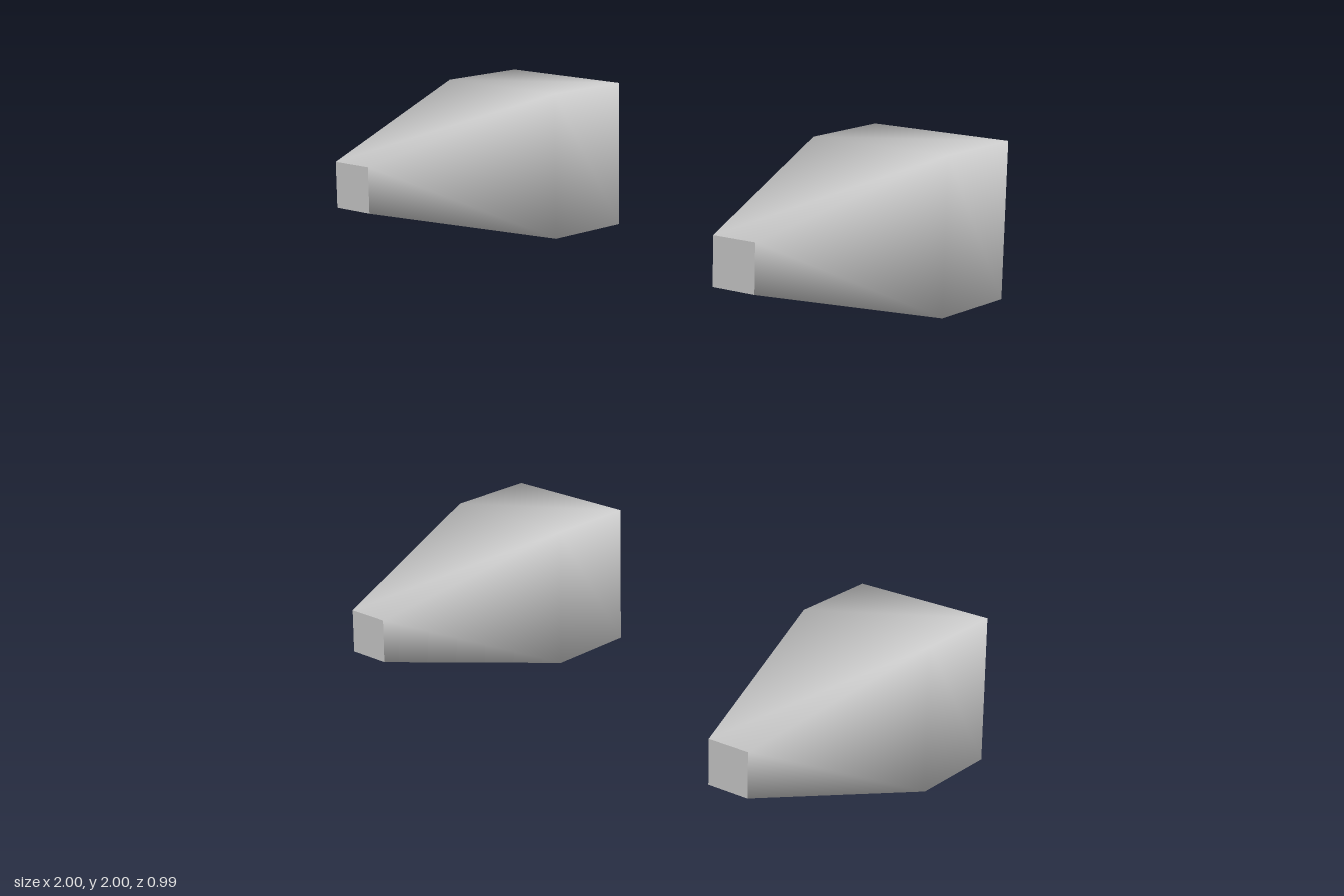
import * as THREE from 'three';

const material = new THREE.MeshStandardMaterial({ color: 0xcccccc, side: THREE.DoubleSide });

// Square cross-sections from the open back to the tip: [z, half width]
const SECTIONS = [[-0.495, 0.239], [-0.18, 0.239], [0.495, 0.073]];
const CORNERS = [[-1, -1], [1, -1], [1, 1], [-1, 1]];

// Hollow square shell: straight socket, then taper, smoothed across its corners
function shellGeometry() {
  const positions = [];
  const indices = [];
  for (const [z, half] of SECTIONS) {
    for (const [x, y] of CORNERS) positions.push(x * half, y * half, z);
  }
  for (let s = 0; s < SECTIONS.length - 1; s++) {
    for (let j = 0; j < 4; j++) {
      const k = (j + 1) % 4;
      const a = s * 4 + j, b = s * 4 + k, c = b + 4, d = a + 4;
      indices.push(a, b, c, a, c, d);
    }
  }
  const geometry = new THREE.BufferGeometry();
  geometry.setAttribute('position', new THREE.Float32BufferAttribute(positions, 3));
  geometry.setIndex(indices);
  geometry.computeVertexNormals();
  return geometry;
}

export function createModel() {
  const model = new THREE.Group();
  model.name = 'taperedNozzles';

  const shell = shellGeometry();
  const [tipZ, tipHalf] = SECTIONS[SECTIONS.length - 1];
  const cap = new THREE.PlaneGeometry(tipHalf * 2, tipHalf * 2);

  // Four nozzles; the right-hand pair sits slightly higher than the left-hand pair
  const places = [
    ['upperRight', -0.761, 1.762],
    ['upperLeft', 0.761, 1.739],
    ['lowerRight', -0.758, 0.264],
    ['lowerLeft', 0.761, 0.24],
  ];
  for (const [name, x, y] of places) {
    const nozzle = new THREE.Group();
    nozzle.name = name + 'Nozzle';
    nozzle.position.set(x, y, 0);

    const body = new THREE.Mesh(shell, material);
    body.name = 'shell';
    const tip = new THREE.Mesh(cap, material);
    tip.name = 'tipCap';
    tip.position.z = tipZ;

    nozzle.add(body, tip);
    model.add(nozzle);
  }
  return model;
}
